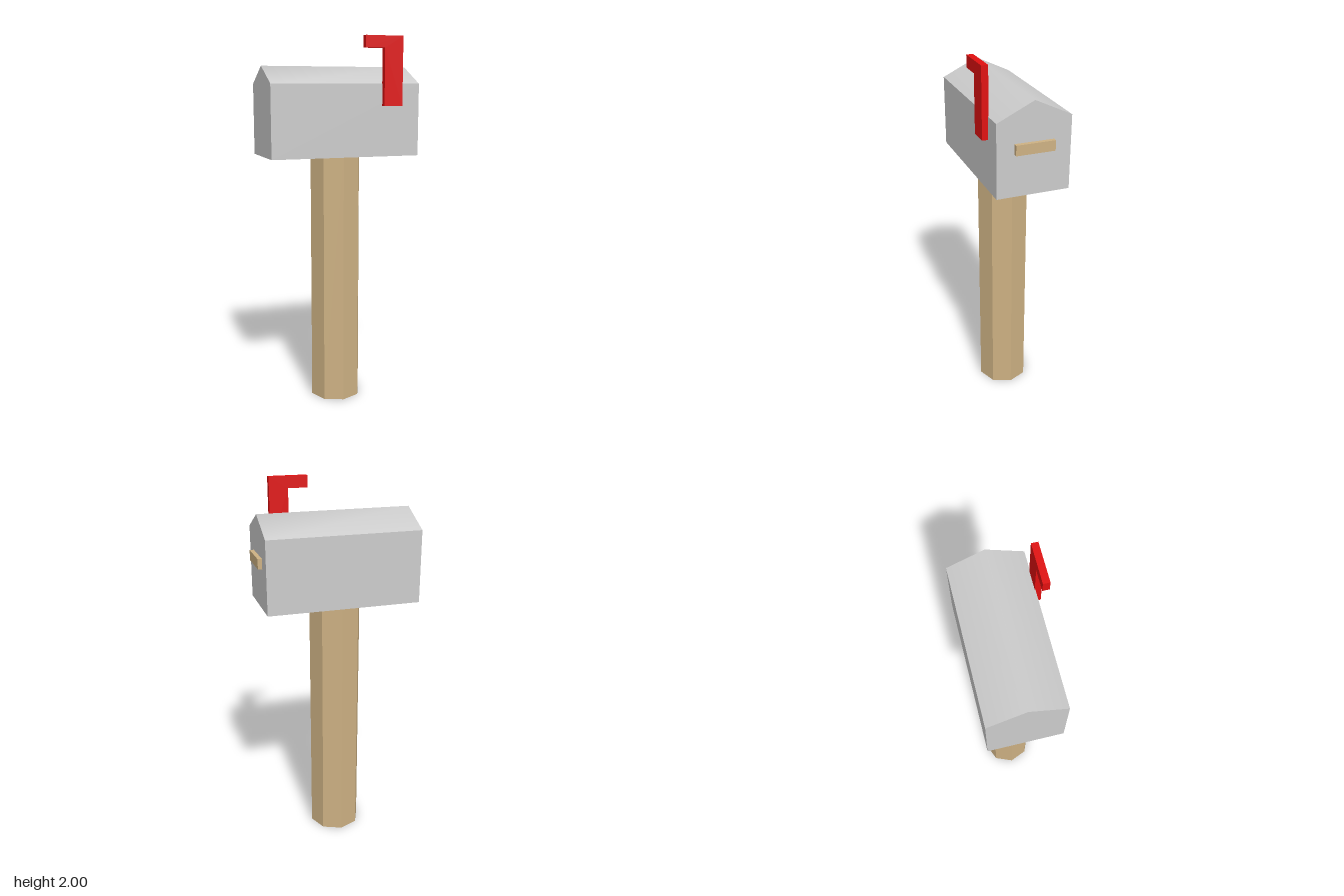
import * as THREE from 'three';
import { toCreasedNormals } from 'three/addons/utils/BufferGeometryUtils.js';

const grey = new THREE.MeshStandardMaterial({ color: 0xcccccc });
const wood = new THREE.MeshStandardMaterial({ color: 0xcdb183, flatShading: true });
const red = new THREE.MeshStandardMaterial({ color: 0xe01010, flatShading: true });

function outline(points) {
  return new THREE.Shape(points.map(([x, y]) => new THREE.Vector2(x, y)));
}

function extrude(points, depth) {
  return new THREE.ExtrudeGeometry(outline(points), { depth, bevelEnabled: false });
}

export function createModel() {
  const group = new THREE.Group();
  const add = (name, geometry, material) => {
    const mesh = new THREE.Mesh(geometry, material);
    mesh.name = name;
    group.add(mesh);
    return mesh;
  };

  // Eight-sided wooden post
  const postHeight = 1.376;
  add('post', new THREE.CylinderGeometry(0.141, 0.141, postHeight, 8), wood)
    .position.set(-0.013, postHeight / 2, -0.014);

  // Gabled box, extruded along x; the ridge is softly shaded, other edges sharp
  const halfWidth = 0.191;
  const gable = [
    [-halfWidth, 1.376], [halfWidth, 1.376], [halfWidth, 1.757],
    [0, 1.848], [-halfWidth, 1.757],
  ];
  const boxGeometry = extrude(gable, 0.814);
  boxGeometry.rotateY(Math.PI / 2);
  add('mailbox', toCreasedNormals(boxGeometry, 1.0), grey)
    .position.set(-0.419, 0, -0.0155);

  // Door handle on the end
  add('doorHandle', new THREE.BoxGeometry(0.03, 0.053, 0.202), wood)
    .position.set(0.402, 1.621, -0.016);

  // L-shaped signal flag on the front side
  const flag = [
    [0.184, 1.642], [0.286, 1.642], [0.286, 2],
    [0.078, 2], [0.078, 1.938], [0.184, 1.938],
  ];
  add('flag', extrude(flag, 0.034), red).position.z = 0.172;

  return group;
}
